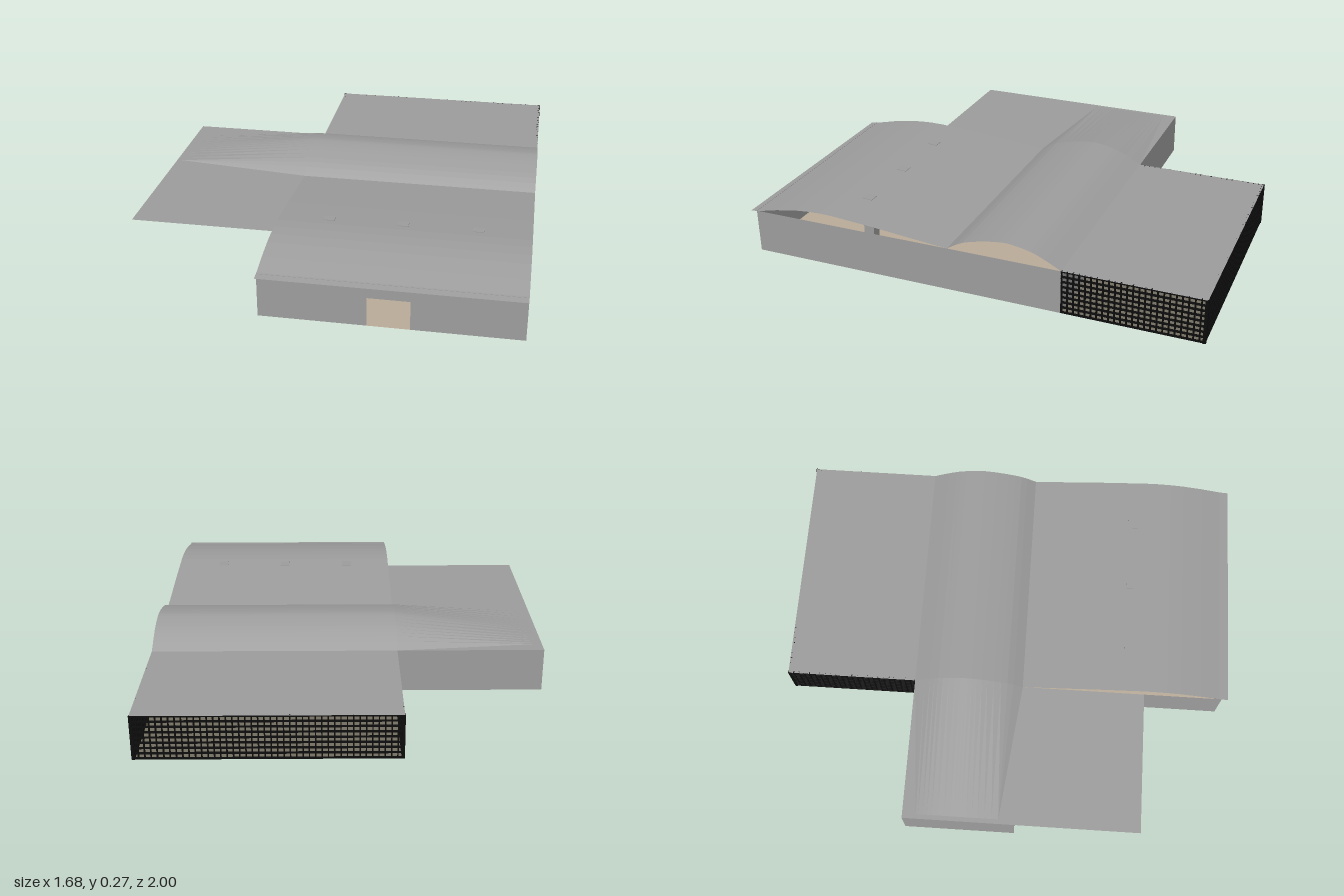
import * as THREE from 'three';
import { mergeGeometries } from 'three/addons/utils/BufferGeometryUtils.js';

const H = 0.19;                                 // wall height
const X0 = -0.84, X1 = -0.21, X2 = 0.84;        // wing end, hall side, hall far side
const BACK = -1, MID = -0.42, STEP = 0.07, FRONT = 0.97;

function paint(name, color) {
  const m = new THREE.MeshStandardMaterial({ color, side: THREE.DoubleSide });
  m.name = name;
  return m;
}

export function createModel() {
  const group = new THREE.Group();
  const grey = paint('concreteGrey', 0x9e9e9e);
  const beige = paint('floorBeige', 0xbcad99);
  const olive = paint('yardFloor', 0x756f62);
  const brown = paint('wingFloor', 0x824f34);
  const black = paint('fenceBlack', 0x0c0c0c);

  function add(name, geometry, material) {
    const mesh = new THREE.Mesh(geometry, material);
    mesh.name = name;
    group.add(mesh);
    return mesh;
  }

  // Horizontal sheet between two corners
  function slab(name, xa, xb, za, zb, y, material) {
    const g = new THREE.PlaneGeometry(xb - xa, zb - za).rotateX(-Math.PI / 2);
    g.translate((xa + xb) / 2, y, (za + zb) / 2);
    add(name, g, material);
  }

  // Wall facing z, with an optional doorway [from, to, height]
  function wallZ(name, xa, xb, z, door) {
    const s = new THREE.Shape();
    s.moveTo(xa, 0);
    if (door) {
      s.lineTo(door[0], 0);
      s.lineTo(door[0], door[2]);
      s.lineTo(door[1], door[2]);
      s.lineTo(door[1], 0);
    }
    s.lineTo(xb, 0);
    s.lineTo(xb, H);
    s.lineTo(xa, H);
    add(name, new THREE.ShapeGeometry(s).translate(0, 0, z), grey);
  }

  // Wall facing x
  function wallX(name, za, zb, x, outward) {
    const g = new THREE.PlaneGeometry(zb - za, H).rotateY(outward * Math.PI / 2);
    add(name, g.translate(x, H / 2, (za + zb) / 2), grey);
  }

  // Sheet stretched between two rows of [x, y, z] points
  function loft(name, a, b) {
    const p = [];
    for (let i = 0; i < a.length - 1; i++) {
      p.push(...a[i], ...b[i], ...b[i + 1], ...a[i], ...b[i + 1], ...a[i + 1]);
    }
    const g = new THREE.BufferGeometry();
    g.setAttribute('position', new THREE.Float32BufferAttribute(p, 3));
    g.computeVertexNormals();
    add(name, g, grey);
  }
  const rowAt = (x, profile) => profile.map(([z, y]) => [x, y, z]);

  // Floors
  slab('hallFloor', X1, X2, MID, FRONT, 0, beige);
  slab('yardFloor', X1, X2, BACK, MID, 0, olive);
  slab('wingFloor', X0, X1, MID, STEP, 0, brown);

  // Walls
  wallZ('hallFrontWall', X1, X2, FRONT, [0.225, 0.395, 0.125]);
  wallZ('hallBackWall', X1, X2, MID);
  wallX('hallLeftWall', MID, FRONT, X2, 1);
  wallX('hallRightWall', MID, FRONT, X1, -1);
  wallZ('wingFrontWall', X0, X1, STEP, [-0.63, -0.42, 0.125]);
  wallZ('wingBackWall', X0, X1, MID);
  wallX('wingEndWall', MID, STEP, X0, -1);

  // Flat roofs: the wing roof runs forward as a canopy
  slab('yardRoof', X1, X2, BACK, MID, H, grey);
  slab('wingRoofAndCanopy', X0, X1, MID, 0.62, H, grey);

  // Low curved roof over the front of the hall, open at both ends
  const low = [[1, 0.185], [0.96, 0.19], [0.87, 0.211], [0.78, 0.227], [0.72, 0.233],
    [0.66, 0.236], [0.6, 0.235], [0.4, 0.22], [0.155, 0.197], [STEP, H]];
  loft('frontRoof', rowAt(X1, low), rowAt(X2, low));

  // Vault across the hall, from a smooth curve
  const vault = new THREE.SplineCurve([[0.07, 0.19], [0, 0.23], [-0.09, 0.254], [-0.16, 0.265],
    [-0.21, 0.265], [-0.29, 0.25], [-0.35, 0.226], [-0.42, 0.19]]
    .map(([z, y]) => new THREE.Vector2(z, y))).getPoints(21).map((v) => [v.x, v.y]);
  loft('vaultRoof', rowAt(X1, vault), rowAt(X2, vault));

  // Vault sinks into the wing roof towards the end
  const flat = vault.map(([z]) => [THREE.MathUtils.clamp(z, -0.36, 0), H + 0.0005]);
  loft('vaultTaper', rowAt(-0.82, flat), rowAt(X1, vault));

  // Columns inside the hall, tops following the roof slope
  for (const x of [0, 0.31, 0.62]) {
    const c = new THREE.BoxGeometry(0.045, 0.235, 0.045).translate(x, 0.1175, 0.5425);
    const pos = c.attributes.position;
    for (let i = 0; i < pos.count; i++) {
      if (pos.getY(i) > 0.2) pos.setY(i, pos.getZ(i) > 0.5425 ? 0.235 : 0.231);
    }
    add('column', c, grey);
    add('columnPanel', new THREE.BoxGeometry(0.035, 0.06, 0.006).translate(x, 0.08, 0.567), grey);
  }

  // Mesh fence panel of the given length, centred on its own origin
  function fence(length) {
    const bars = [];
    const n = Math.round(length / 0.0245), rows = 8;
    for (let i = 0; i <= n; i++) {
      bars.push(new THREE.BoxGeometry(0.005, H, 0.01).translate((i / n - 0.5) * length, H / 2, 0));
    }
    for (let j = 0; j <= rows; j++) {
      const y = 0.0025 + (j / rows) * (H - 0.006);
      bars.push(new THREE.BoxGeometry(length, 0.005, 0.01).translate(0, y, 0));
    }
    return mergeGeometries(bars);
  }
  const zMid = (BACK + MID) / 2;
  add('backFence', fence(X2 - X1).translate((X1 + X2) / 2, 0, BACK + 0.005), black);
  for (const x of [X1 + 0.005, X2 - 0.005]) {
    add('sideFence', fence(MID - BACK).rotateY(Math.PI / 2).translate(x, 0, zMid), black);
  }

  return group;
}
